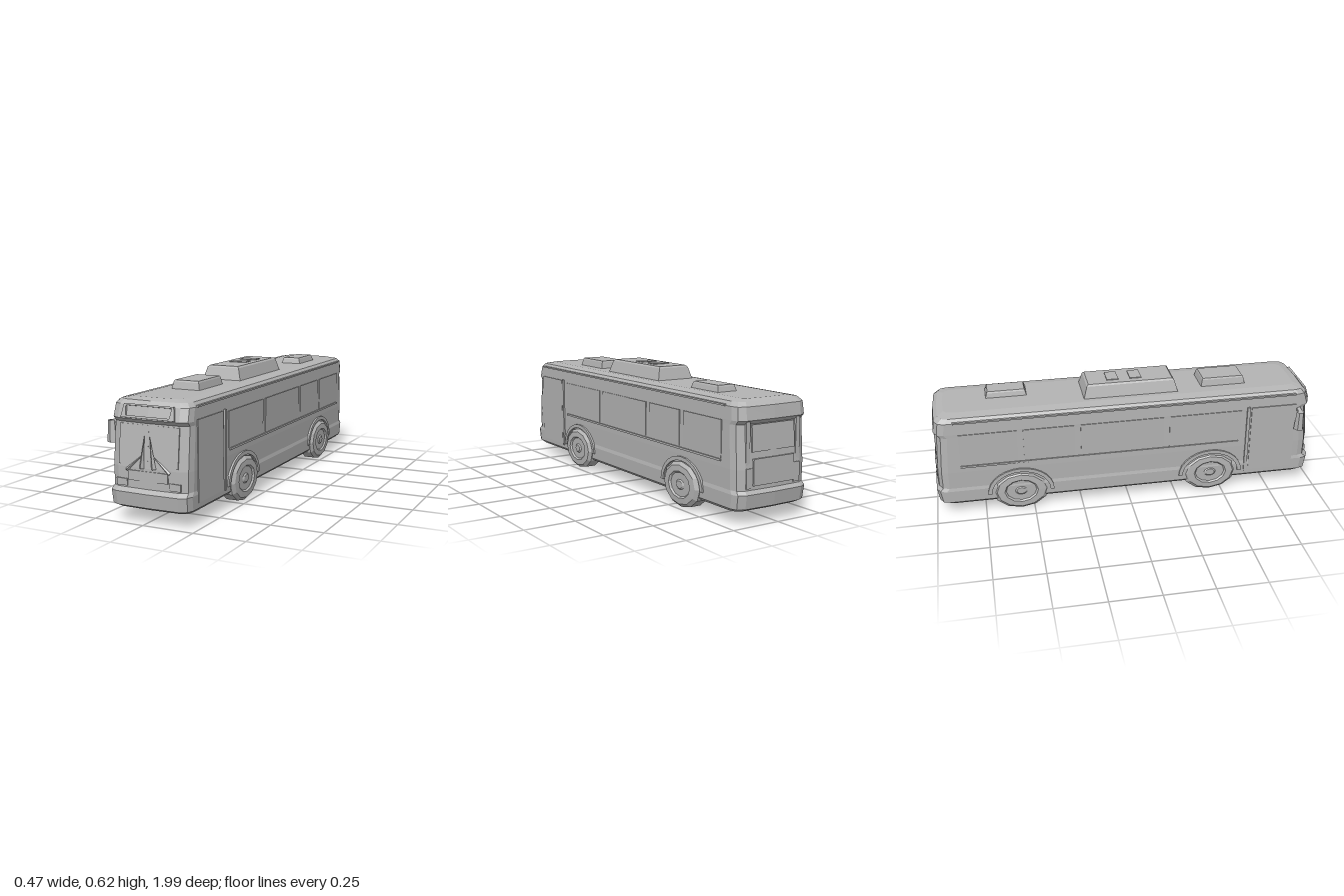
import * as THREE from 'three';

const CX = 0.015; // body centre line

export function createModel() {
  const bus = new THREE.Group();
  bus.name = 'bus';
  const grey = new THREE.MeshStandardMaterial({ color: 0xb4b4b4, flatShading: true });
  grey.name = 'plain grey';

  const add = (name, geometry, x = 0, y = 0, z = 0) => {
    const mesh = new THREE.Mesh(geometry, grey);
    mesh.name = name;
    mesh.position.set(x, y, z);
    bus.add(mesh);
    return mesh;
  };
  const box = (name, w, h, d, x, y, z) => add(name, new THREE.BoxGeometry(w, h, d), x, y, z);

  // Stack of plan outlines, each running front, +x side, back, -x side
  const loft = (rings) => {
    const n = rings[0].length;
    const pos = rings.flat(2);
    const index = [];
    for (let r = 0; r < rings.length - 1; r++) {
      for (let i = 0; i < n; i++) {
        const a = r * n + i, b = r * n + (i + 1) % n;
        index.push(a, b, a + n, b, b + n, a + n);
      }
    }
    const top = (rings.length - 1) * n;
    for (let i = 1; i < n - 1; i++) {
      index.push(0, i + 1, i, top, top + i, top + i + 1);
    }
    const g = new THREE.BufferGeometry();
    g.setAttribute('position', new THREE.Float32BufferAttribute(pos, 3));
    g.setIndex(index);
    g.computeVertexNormals();
    return g;
  };

  // Body levels: height, half width, front z, back z
  const levels = [
    [0.06, 0.185, 0.95, -0.95], [0.075, 0.2, 0.98, -0.98],
    [0.14, 0.202, 0.99, -0.99], [0.157, 0.198, 0.968, -0.975],
    [0.25, 0.2, 0.968, -0.975], [0.447, 0.198, 0.948, -0.962],
    [0.465, 0.198, 0.965, -0.978], [0.525, 0.195, 0.947, -0.97],
    [0.544, 0.178, 0.93, -0.95], [0.553, 0.13, 0.89, -0.92],
  ];
  add('body', loft(levels.map(([y, w, f, b]) => [
    [0, f + 0.005], [w * 0.78, f], [w * 0.95, f - 0.018], [w, f - 0.05],
    [w, b + 0.05], [w * 0.95, b + 0.018], [w * 0.78, b],
    [0, b - 0.005], [-w * 0.78, b], [-w * 0.95, b + 0.018], [-w, b + 0.05],
    [-w, f - 0.05], [-w * 0.95, f - 0.018], [-w * 0.78, f],
  ].map(([x, z]) => [CX + x, y, z]))));

  // Roof units with sloping sides
  const roofUnit = (name, x0, x1, z0, z1, top, slope) => {
    const ring = (y, s) => [[x0 + s, y, z1 - s], [x1 - s, y, z1 - s], [x1 - s, y, z0 + s], [x0 + s, y, z0 + s]];
    add(name, loft([ring(0.54, 0), ring(top - 0.008, slope * 0.7), ring(top, slope)]));
  };
  roofUnit('roofAirConditioner', -0.092, 0.122, -0.22, 0.275, 0.62, 0.03);
  roofUnit('frontRoofHatch', -0.06, 0.092, 0.4, 0.64, 0.594, 0.014);
  roofUnit('rearRoofHatch', 0.008, 0.124, -0.71, -0.495, 0.584, 0.014);
  for (const z of [-0.06, 0.06]) box('roofVent', 0.09, 0.006, 0.06, 0.015, 0.621, z);

  // Wheels: slightly long ovals with dished hubs
  const profile = [[0, -0.042], [0.09, -0.042], [0.109, -0.028], [0.109, 0.028],
    [0.094, 0.042], [0.065, 0.044], [0.058, 0.036], [0.025, 0.036], [0.018, 0.042], [0, 0.042]]
    .map(([r, h]) => new THREE.Vector2(r, h));
  const wheelShape = new THREE.LatheGeometry(profile, 12);
  const arch = new THREE.Shape();
  arch.absellipse(0, 0, 0.17, 0.137, 0, Math.PI, false);
  arch.lineTo(-0.152, 0);
  arch.absellipse(0, 0, 0.15, 0.118, Math.PI, 0, true);
  const archShape = new THREE.ExtrudeGeometry(arch, { depth: 0.024, bevelEnabled: false, curveSegments: 7 });
  archShape.translate(0, 0, -0.012);
  archShape.rotateY(Math.PI / 2);

  for (const side of [-1, 1]) {
    const label = side > 0 ? 'left' : 'right';
    for (const [end, z] of [['Front', 0.435], ['Rear', -0.565]]) {
      const wheel = add(label + end + 'Wheel', wheelShape, 0.021 + side * 0.17, 0.109, z);
      wheel.rotation.z = -side * Math.PI / 2;
      wheel.scale.z = 1.33;
      add(label + end + 'WheelArch', archShape, CX + side * 0.197, 0.105, z);
    }

    // Side windows, doors and trim
    const x = CX + side * 0.2;
    const panes = [[0.21, 0.59], [-0.25, 0.18], [-0.54, -0.28], [-0.86, -0.57]];
    for (const [a, b] of panes) {
      box(label + 'Window', 0.006, 0.17, b - a, x - side * 0.001, 0.375, (a + b) / 2);
    }
    box(label + 'DoorPanel', 0.006, 0.37, 0.24, x, 0.285, 0.765);
    box(label + 'DoorPost', 0.014, 0.38, 0.016, x, 0.285, 0.628);
    box(label + 'WaistRail', 0.012, 0.01, 1.44, x, 0.28, -0.14);
    box(label + 'RoofRail', 0.012, 0.008, 1.76, x - side * 0.003, 0.527, 0);
  }

  // Framed destination sign above the windscreen
  const frame = new THREE.Shape();
  frame.moveTo(-0.135, -0.032).lineTo(0.135, -0.032).lineTo(0.125, 0.03).lineTo(-0.125, 0.03);
  const opening = new THREE.Path();
  opening.moveTo(-0.11, -0.022).lineTo(-0.115, 0.022).lineTo(0.115, 0.022).lineTo(0.11, -0.022);
  frame.holes.push(opening);
  const sign = add('destinationSignFrame',
    new THREE.ExtrudeGeometry(frame, { depth: 0.016, bevelEnabled: false }), CX, 0.497, 0.95);
  sign.rotation.x = -0.28;

  // Windscreen halves, wipers and lower nose
  for (const s of [-1, 1]) {
    const glass = box('windscreen', 0.148, 0.18, 0.006, CX + s * 0.076, 0.35, 0.96);
    glass.rotation.x = -0.1;
    const wiper = add('wiper', new THREE.ConeGeometry(0.012, 0.15, 4), CX + s * 0.022, 0.325, 0.975);
    wiper.rotation.z = s * 0.12;
    const arm = add('wiperArm', new THREE.ConeGeometry(0.008, 0.13, 4), CX + s * 0.06, 0.28, 0.973);
    arm.rotation.z = s * 0.85;
    box('headlight', 0.055, 0.032, 0.014, CX + s * 0.135, 0.18, 0.967);
    box('tailLight', 0.035, 0.09, 0.012, CX + s * 0.135, 0.21, -0.974);
    box('rearPillar', 0.022, 0.3, 0.016, CX + s * 0.142, 0.31, -0.966);
  }
  box('nosePanel', 0.2, 0.045, 0.012, CX, 0.215, 0.97);

  // Rear window and engine cover
  const rearGlass = box('rearWindow', 0.24, 0.12, 0.008, CX, 0.385, -0.971);
  rearGlass.rotation.x = 0.06;
  box('engineCover', 0.23, 0.12, 0.012, CX, 0.235, -0.978);

  // Single door mirror with its arm
  const mirror = add('mirror', new THREE.CylinderGeometry(0.02, 0.027, 0.1, 6), -0.211, 0.388, 0.9);
  mirror.rotation.z = 0.04;
  const arm = box('mirrorArm', 0.06, 0.016, 0.02, -0.195, 0.437, 0.9);
  arm.rotation.z = 0.3;

  return bus;
}
